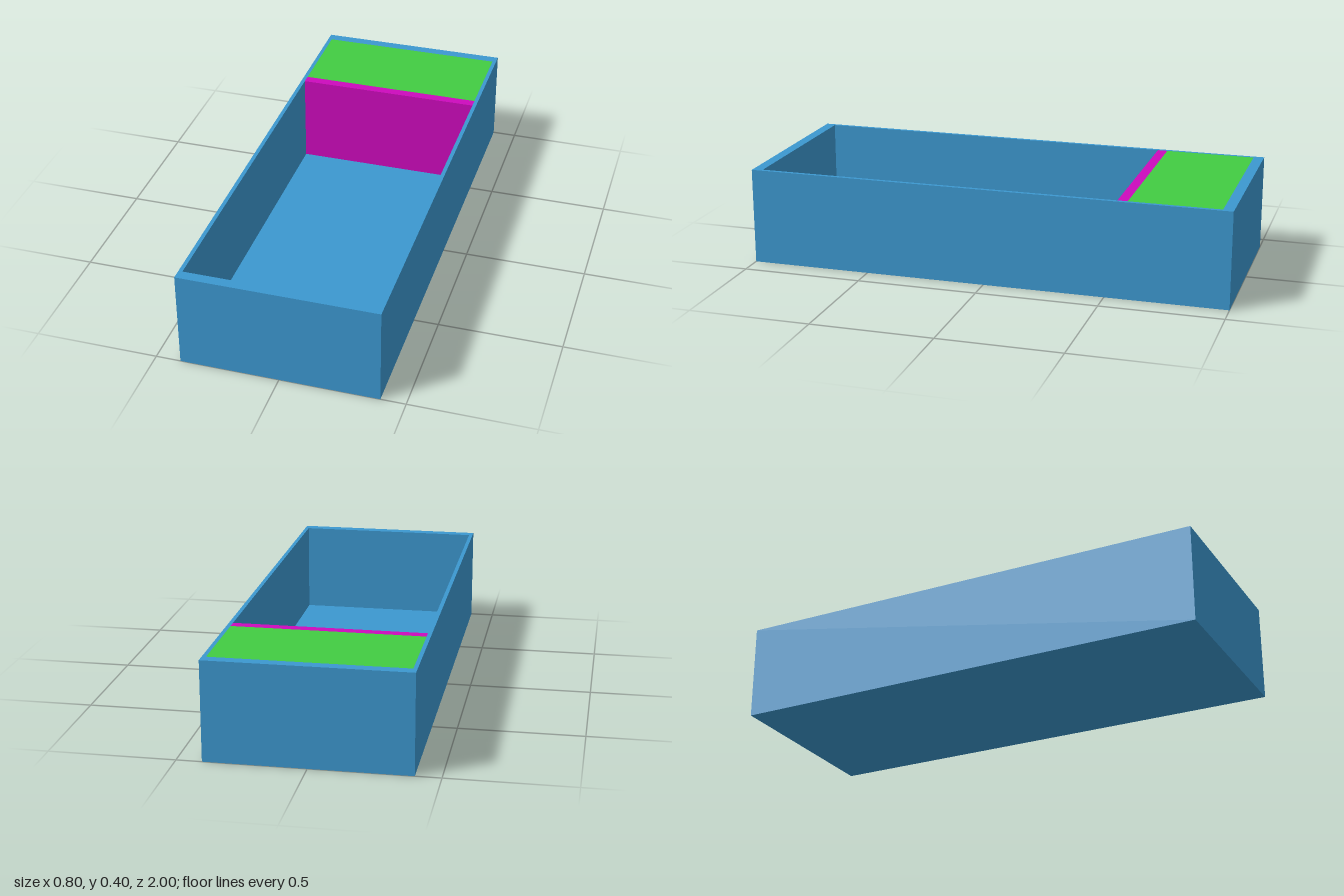
import * as THREE from 'three';

export function createModel() {
  const model = new THREE.Group();
  const mat = (name, color) => Object.assign(new THREE.MeshStandardMaterial({ color }), { name });
  const blue = mat('blue', 0x3c98d0);
  const green = mat('green', 0x42cc42);
  const magenta = mat('magenta', 0xcc0abc);

  const W = 0.8, H = 0.4, L = 2;        // outer size
  const side = 0.016, end = 0.043, base = 0.016; // wall and floor thickness
  const innerW = W - 2 * side;

  const add = (name, geometry, material) => {
    const mesh = new THREE.Mesh(geometry, material);
    mesh.name = name;
    model.add(mesh);
    return mesh;
  };
  // box spanning the inner width between two heights and two depths
  const slab = (name, material, y0, y1, z0, z1) =>
    add(name, new THREE.BoxGeometry(innerW, y1 - y0, z1 - z0), material)
      .position.set(0, (y0 + y1) / 2, (z0 + z1) / 2);

  const rectangle = (path, w, l) => path
    .moveTo(-w / 2, -l / 2).lineTo(w / 2, -l / 2)
    .lineTo(w / 2, l / 2).lineTo(-w / 2, l / 2).closePath();

  // four walls as one extruded frame
  const frame = new THREE.Shape();
  rectangle(frame, W, L);
  const opening = new THREE.Path();
  rectangle(opening, innerW, L - 2 * end);
  frame.holes.push(opening);
  const walls = new THREE.ExtrudeGeometry(frame, { depth: H, bevelEnabled: false });
  walls.rotateX(-Math.PI / 2);
  add('walls', walls, blue);

  // floor, then the divider and the filled rear compartment, flush with the rim
  const back = -L / 2 + end, dividerBack = -0.585, dividerFront = -0.544;
  slab('floor', blue, 0, base, back, L / 2 - end);
  slab('divider', magenta, base, H, dividerBack, dividerFront);
  slab('rearBlock', green, base, H, back, dividerBack);

  return model;
}
